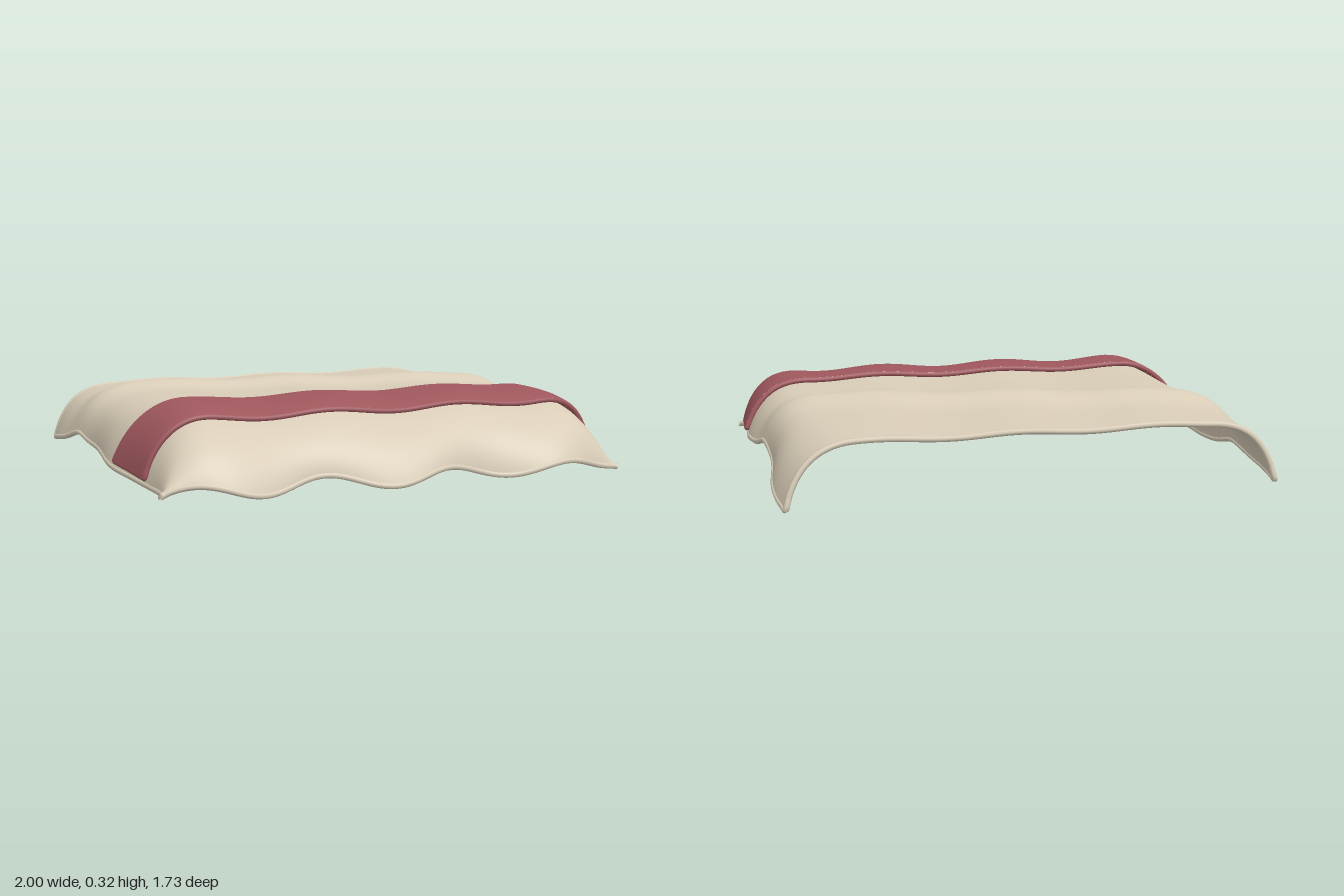
import * as THREE from 'three';

const cream = new THREE.MeshStandardMaterial({ color: 0xd9cdb8 });
const red = new THREE.MeshStandardMaterial({ color: 0xa0585e });
cream.name = 'cream cloth';
red.name = 'dusty red cloth';

const FLAT_X = 0.71, FLAT_Z = 0.4, BACK = -0.825, FRONT = 0.85;
const bezier = (a, b, c, t) => a * (1 - t) ** 2 + 2 * b * t * (1 - t) + c * t * t;

// Point on the draped cloth: u runs across (-1..1), v from the back to the front hem
function drape(u, v) {
  const side = Math.sign(u), a = Math.abs(u);
  const s = Math.max(0, (a - FLAT_X) / (1 - FLAT_X));
  const t = Math.max(0, (v - FLAT_Z) / (FRONT - FLAT_Z));

  // Width wavers along the sides, front hem wavers across
  const width = 0.966 + 0.02 * Math.cos((2 * Math.PI * (v + 0.65)) / 0.87) + 0.01 * t * t;
  const x = side * (s > 0 ? bezier(FLAT_X, 0.915, width, s) : a);
  const frontZ = 0.822 + 0.032 * Math.cos(9.7 * (x + 0.01));
  let z = t > 0 ? bezier(FLAT_Z, 0.77, frontZ, t) : v;
  z -= 0.03 * s * s * (1 - t);

  // Top height: soft ripples and one slanting fold
  const crest = -0.27 + 0.185 * x;
  const d = z - crest;
  const fold = Math.exp(-((d / (d > 0 ? 0.085 : 0.11)) ** 2));
  const ripple = Math.cos(11.4 * (x + 0.2 * z) + 1.1);
  const top = 0.278 - 0.022 * Math.max(0, (-z - 0.3) / 0.5)
    + 0.006 * Math.exp(-(((z - 0.3) / 0.15) ** 2))
    + (0.006 + 0.005 * THREE.MathUtils.smoothstep(z, 0.1, 0.6)) * ripple + 0.034 * fold;

  // Hem height: sides lift towards the fold, front is scalloped
  const lift = d > 0 ? (0.82 - z) / (0.82 - crest) : (z + 0.86) / (crest + 0.86);
  const sideHem = 0.014 + (0.068 + 0.012 * x) * Math.max(0, lift) ** 0.9 + 0.022 * fold;
  const frontHem = 0.038 + 0.024 * Math.cos((2 * Math.PI * (x + 0.32)) / 0.51);
  const hem = THREE.MathUtils.lerp(sideHem, frontHem, t * t);
  const y = hem + (top - hem) * (1 - s * s) * (1 - t * t);
  return new THREE.Vector3(x, y, z);
}

// Same point moved along the outward normal
function offsetPoint(u, v, offset) {
  const e = 0.002;
  const du = drape(Math.min(1, u + e), v).sub(drape(Math.max(-1, u - e), v));
  const dv = drape(u, Math.min(FRONT, v + e)).sub(drape(u, Math.max(BACK, v - e)));
  return drape(u, v).addScaledVector(dv.cross(du).normalize(), offset);
}

// Grid surface; rows run along b, columns along a
function grid(cols, rows, pointAt, flip) {
  const pos = [], index = [];
  for (let j = 0; j <= rows; j++) {
    for (let i = 0; i <= cols; i++) pos.push(...pointAt(i / cols, j / rows).toArray());
  }
  for (let j = 0; j < rows; j++) {
    for (let i = 0; i < cols; i++) {
      const a = j * (cols + 1) + i, b = a + 1, c = a + cols + 1, d = c + 1;
      if (flip) index.push(a, b, c, b, d, c);
      else index.push(a, c, b, b, c, d);
    }
  }
  const g = new THREE.BufferGeometry();
  g.setAttribute('position', new THREE.Float32BufferAttribute(pos, 3));
  g.setIndex(index);
  g.computeVertexNormals();
  return g;
}

function addMesh(parent, name, geometry, material) {
  const mesh = new THREE.Mesh(geometry, material);
  mesh.name = name;
  parent.add(mesh);
}

// Cloth layer: top face, lining and a rolled edge round its border
function clothLayer(name, material, r, inner, outer, edgeRadius) {
  const group = new THREE.Group();
  group.name = name;
  const at = (offset) => (a, b) => offsetPoint(
    THREE.MathUtils.lerp(-r.u, r.u, a), THREE.MathUtils.lerp(r.v0, r.v1, b), offset);
  const rows = Math.ceil((r.v1 - r.v0) * 60);
  addMesh(group, name + 'Top', grid(120, rows, at(outer), false), material);
  addMesh(group, name + 'Lining', grid(120, rows, at(inner), true), material);

  const rim = at((inner + outer) / 2), n = 60, border = [];
  for (let i = 0; i < n; i++) border.push(rim(i / n, 0));
  for (let i = 0; i < n; i++) border.push(rim(1, i / n));
  for (let i = 0; i < n; i++) border.push(rim(1 - i / n, 1));
  for (let i = 0; i < n; i++) border.push(rim(0, 1 - i / n));
  const path = new THREE.CatmullRomCurve3(border, true);
  addMesh(group, name + 'Edge', new THREE.TubeGeometry(path, 480, edgeRadius, 8, true), material);
  return group;
}

export function createModel() {
  const model = new THREE.Group();
  model.name = 'blanket';
  model.add(clothLayer('blanketSheet', cream, { u: 1, v0: BACK, v1: FRONT }, -0.014, 0, 0.012));
  model.add(clothLayer('stripeBand', red, { u: 0.982, v0: 0.27, v1: 0.529 }, 0.004, 0.026, 0.011));
  return model;
}
